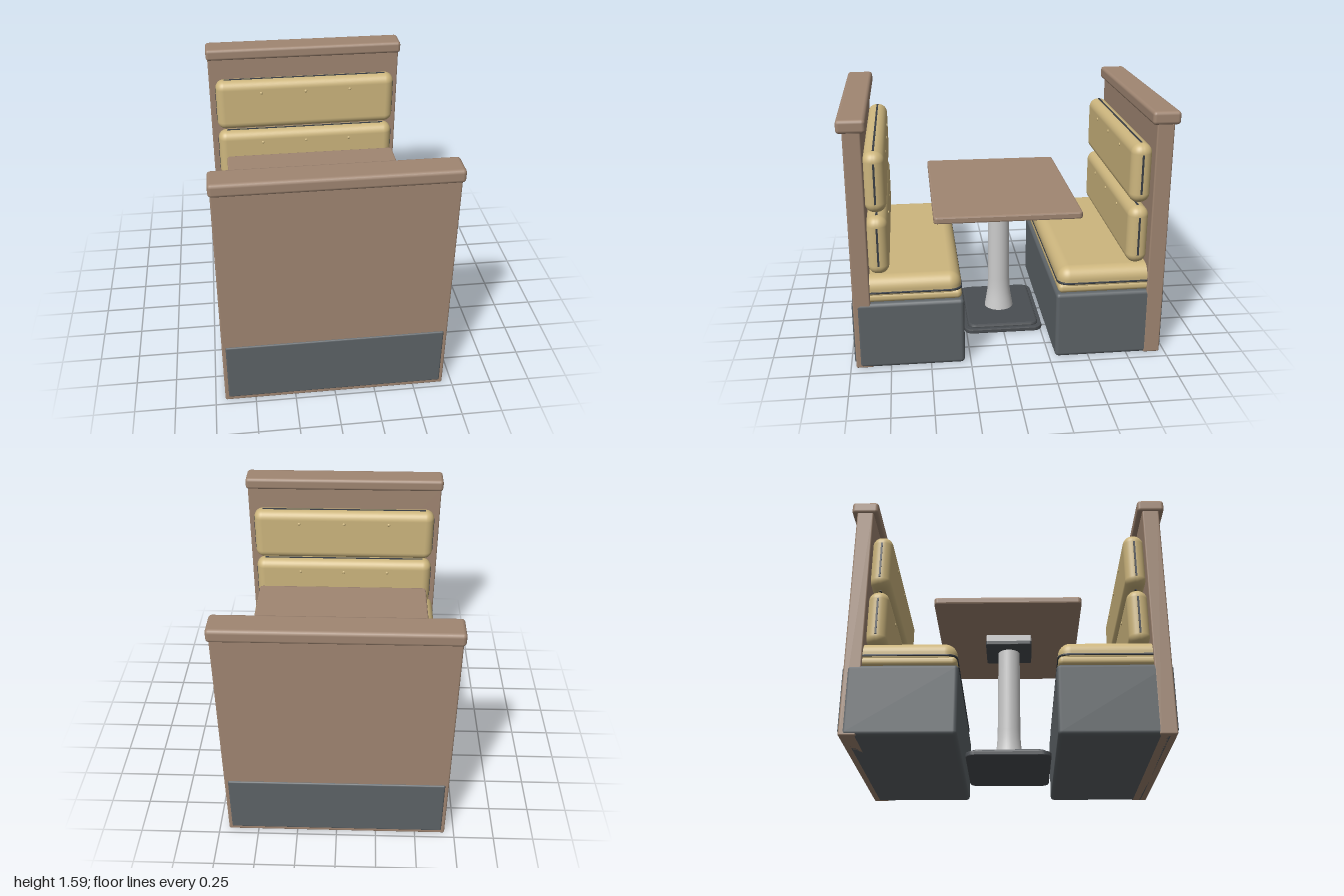
import * as THREE from 'three';
import { RoundedBoxGeometry } from 'three/addons/geometries/RoundedBoxGeometry.js';

const mat = (color) => new THREE.MeshStandardMaterial({ color });
const wood = mat(0xa08672);
const vinyl = mat(0xcdb67e);
const slate = mat(0x5d6367);
const piping = mat(0x3a3f45);
const darkMetal = mat(0x4a4e52);
const steel = mat(0xcccccc);

function add(parent, name, geometry, material, x = 0, y = 0, z = 0) {
  const mesh = new THREE.Mesh(geometry, material);
  mesh.name = name;
  mesh.position.set(x, y, z);
  parent.add(mesh);
  return mesh;
}

// Rounded box given by its width, its y and z ranges and its edge radius
function block(parent, name, material, w, [y0, y1], [z0, z1], r, segments = 3, x = 0) {
  const geometry = new RoundedBoxGeometry(w, y1 - y0, z1 - z0, segments, r);
  return add(parent, name, geometry, material, x, (y0 + y1) / 2, (z0 + z1) / 2);
}

// Flat plate with rounded corners in plan, lying at y0 to y1
function plate(parent, name, material, w, d, [y0, y1], radius, bevel, z = 0) {
  const x = w / 2 - bevel, e = d / 2 - bevel;
  const s = new THREE.Shape();
  s.moveTo(-x + radius, -e);
  s.lineTo(x - radius, -e).absarc(x - radius, -e + radius, radius, -Math.PI / 2, 0);
  s.lineTo(x, e - radius).absarc(x - radius, e - radius, radius, 0, Math.PI / 2);
  s.lineTo(-x + radius, e).absarc(-x + radius, e - radius, radius, Math.PI / 2, Math.PI);
  s.lineTo(-x, -e + radius).absarc(-x + radius, -e + radius, radius, Math.PI, Math.PI * 1.5);
  const geometry = new THREE.ExtrudeGeometry(s, {
    depth: y1 - y0 - 2 * bevel, bevelEnabled: bevel > 0, bevelSize: bevel,
    bevelThickness: bevel, bevelSegments: 2, curveSegments: 6,
  });
  geometry.rotateX(-Math.PI / 2);
  return add(parent, name, geometry, material, 0, y0 + bevel, z);
}

function backCushion(parent, y0, y1) {
  const g = new THREE.Group();
  g.name = 'backCushion';
  const h = y1 - y0, y = (y0 + y1) / 2, z = 0.80;
  block(g, 'backPad', vinyl, 1.29, [y0, y1], [0.735, 0.865], 0.06, 5);
  // Piping shows along the straight edges of the pad
  add(g, 'sidePiping', new THREE.BoxGeometry(1.296, h - 0.125, 0.012), piping, 0, y, z);
  add(g, 'edgePiping', new THREE.BoxGeometry(1.165, h + 0.006, 0.012), piping, 0, y, z);
  for (const x of [-0.32, 0, 0.32]) {
    const button = add(g, 'button', new THREE.SphereGeometry(0.011, 12, 8), vinyl, x, y0 + 0.29, 0.735);
    button.scale.z = 0.6;
  }
  parent.add(g);
}

// One bench with its back panel at +z and its seat facing the table
function createBench() {
  const bench = new THREE.Group();
  bench.name = 'bench';
  block(bench, 'backPanel', wood, 1.38, [0, 1.52], [0.86, 0.966], 0.01, 2);
  block(bench, 'topCap', wood, 1.4, [1.508, 1.59], [0.83, 1.0], 0.022, 2);
  block(bench, 'kickPlate', slate, 1.335, [0.03, 0.432], [0.94, 0.975], 0.01, 2);
  block(bench, 'seatBase', slate, 1.382, [0, 0.44], [0.287, 0.95], 0.025, 2, 0.002);

  // Seat cushion with a piped seam
  block(bench, 'seatCushion', vinyl, 1.36, [0.44, 0.602], [0.30, 0.94], 0.075, 6);
  block(bench, 'seatCushionLower', vinyl, 1.36, [0.44, 0.502], [0.30, 0.94], 0.028, 4);
  plate(bench, 'seatPiping', piping, 1.368, 0.648, [0.5, 0.512], 0.06, 0.003, 0.62);

  backCushion(bench, 0.602, 0.975);
  backCushion(bench, 1.0, 1.375);
  return bench;
}

function createTable() {
  const table = new THREE.Group();
  table.name = 'table';
  plate(table, 'tableTop', wood, 1.18, 0.92, [0.9, 0.945], 0.015, 0.01);
  plate(table, 'mountBlock', steel, 0.3, 0.3, [0.855, 0.902], 0.01, 0);
  plate(table, 'mountPlate', darkMetal, 0.304, 0.304, [0.83, 0.858], 0.01, 0.004);

  // Column flaring out toward the foot
  const profile = [[0.1, 0.04], [0.094, 0.075], [0.087, 0.115], [0.08, 0.16],
    [0.076, 0.21], [0.074, 0.27], [0.072, 0.84]].map(([r, y]) => new THREE.Vector2(r, y));
  add(table, 'column', new THREE.LatheGeometry(profile, 32), steel);

  // Foot in two steps, the upper one bevelled
  plate(table, 'foot', darkMetal, 0.66, 0.525, [0, 0.03], 0.05, 0.006);
  plate(table, 'footTop', darkMetal, 0.61, 0.475, [0.015, 0.05], 0.04, 0.014);
  return table;
}

export function createModel() {
  const model = new THREE.Group();
  model.name = 'diningBooth';
  const front = createBench();
  front.name = 'frontBench';
  const back = createBench();
  back.name = 'backBench';
  back.rotation.y = Math.PI;
  model.add(front, back, createTable());
  return model;
}
